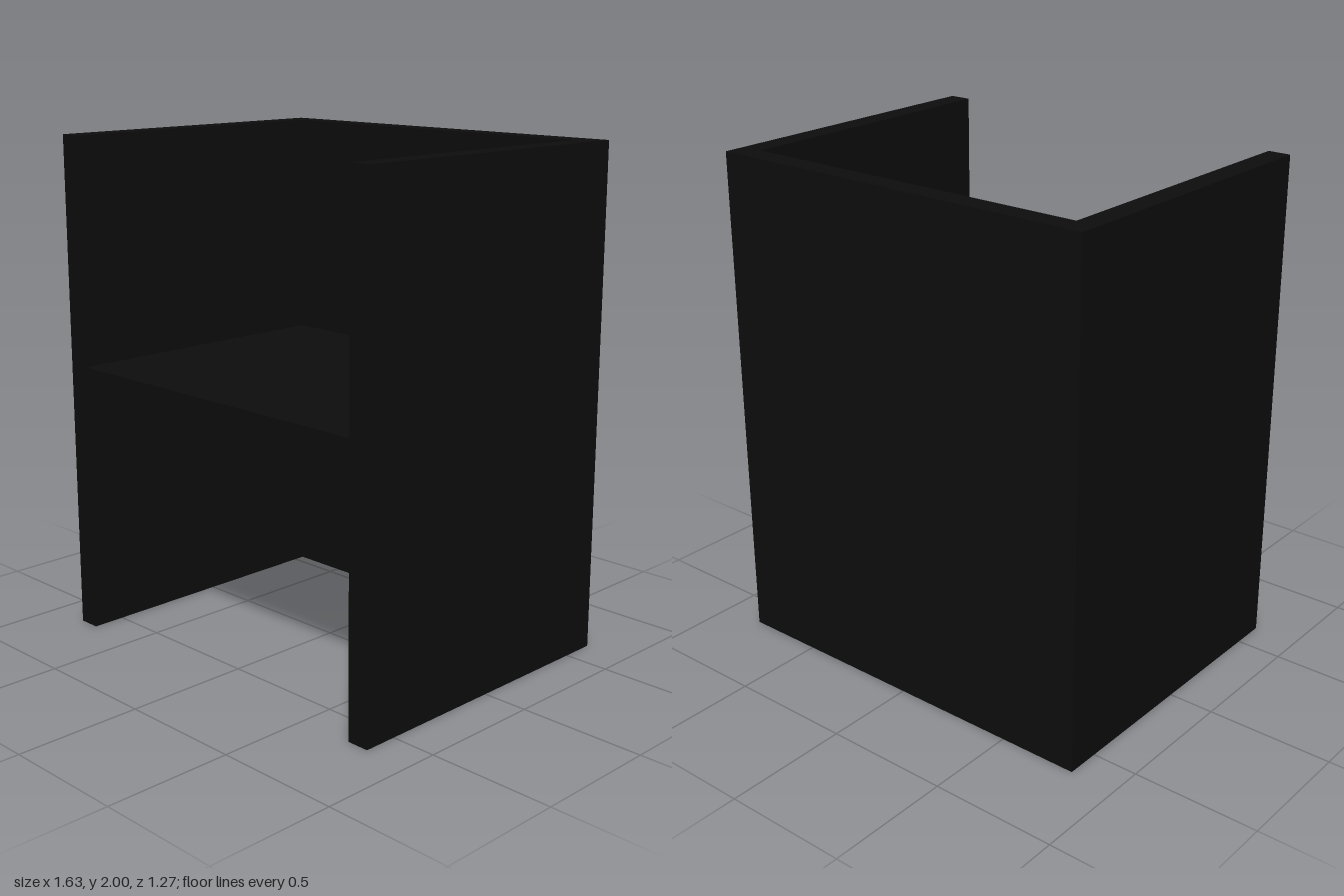
import * as THREE from 'three';

export function createModel() {
  const model = new THREE.Group();
  const black = new THREE.MeshStandardMaterial({ color: 0x0d0d0d });
  black.name = 'black board';

  const W = 1.635, H = 2, D = 1.27, T = 0.09; // overall size and board thickness
  const innerW = W - 2 * T;
  const innerBack = -D / 2 + T;

  function board(name, w, h, d, x, y, z) {
    const mesh = new THREE.Mesh(new THREE.BoxGeometry(w, h, d), black);
    mesh.name = name;
    mesh.position.set(x, y, z);
    model.add(mesh);
  }

  // Full-height side walls
  for (const [name, s] of [['leftPanel', 1], ['rightPanel', -1]]) {
    board(name, T, H, D, s * (W - T) / 2, H / 2, 0);
  }

  // Full-height back between the sides
  board('backPanel', innerW, H, T, 0, H / 2, -(D - T) / 2);

  // Desk top, flush with the front edges
  board('deskTop', innerW, T, D - T, 0, 1.05, T / 2);

  // Shallow shelf under the desk, against the back
  const shelfDepth = 0.3;
  board('lowerShelf', innerW, T, shelfDepth, 0, 0.595, innerBack + shelfDepth / 2);

  return model;
}
